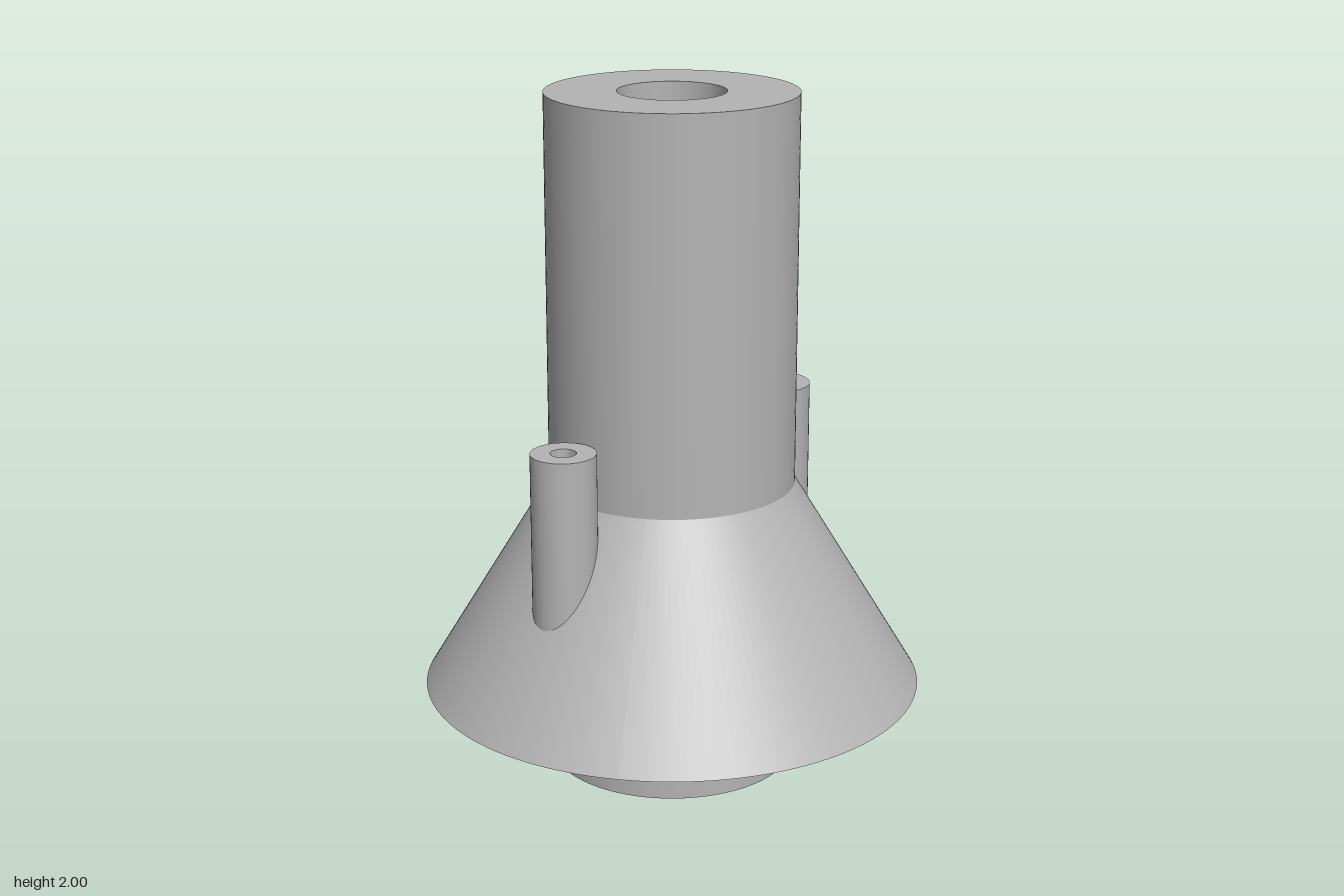
import * as THREE from 'three';
import { toCreasedNormals } from 'three/addons/utils/BufferGeometryUtils.js';

const grey = new THREE.MeshStandardMaterial({ color: 0xb4b4b4, side: THREE.DoubleSide });
grey.name = 'plain grey';

const R = 0.36;          // main tube outer radius
const PORT_R = 0.105;    // round side ports
const PORT_Y = 0.21;
const CUT = 0.41;        // reach of the port cut into the posts
const SECTOR = Math.PI / 6;

function add(parent, geometry, name) {
  const mesh = new THREE.Mesh(geometry, grey);
  mesh.name = name;
  parent.add(mesh);
  return mesh;
}

function lathe(points, segments = 96, start = 0, length = Math.PI * 2) {
  const profile = points.map(([x, y]) => new THREE.Vector2(x, y));
  return toCreasedNormals(new THREE.LatheGeometry(profile, segments, start, length), 0.4);
}

// Grid surface from a function of two parameters in 0..1
function surface(nu, nv, fn) {
  const position = [], index = [];
  for (let i = 0; i <= nu; i++)
    for (let j = 0; j <= nv; j++) position.push(...fn(i / nu, j / nv));
  for (let i = 0; i < nu; i++)
    for (let j = 0; j < nv; j++) {
      const a = i * (nv + 1) + j, b = a + nv + 1;
      index.push(a, b, a + 1, b, b + 1, a + 1);
    }
  const g = new THREE.BufferGeometry();
  g.setAttribute('position', new THREE.Float32BufferAttribute(position, 3));
  g.setIndex(index);
  g.computeVertexNormals();
  return g;
}

// Rectangular patch (half width w, v0..v1) with a hole, bent by map(u, v)
function holedPatch(w, v0, v1, centre, hole, map) {
  const corners = [[w, v0], [w, v1], [-w, v1], [-w, v0], [w, v0]];
  return surface(64, 10, (s, t) => {
    const k = Math.min(3, Math.floor(s * 4 + 1e-9)), f = s * 4 - k;
    const u = corners[k][0] + (corners[k + 1][0] - corners[k][0]) * f;
    const v = corners[k][1] + (corners[k + 1][1] - corners[k][1]) * f;
    const [hu, hv] = hole(Math.atan2((v - centre) / (v1 - v0), u / (2 * w)));
    return map(hu + (u - hu) * t, hv + (v - hv) * t);
  });
}

// Lower end of a post, trimmed flat on the side facing the tube
function trimmedEnd(centre, outer, bore) {
  const d = centre - CUT;
  const a = -Math.asin(d / outer);
  const shape = new THREE.Shape();
  shape.absarc(0, 0, outer, a, Math.PI - a, false);
  if (bore > d) {
    const b = -Math.asin(d / bore);
    shape.absarc(0, 0, bore, Math.PI - b, b, true);
  } else {
    const hole = new THREE.Path();
    hole.absarc(0, 0, bore, 0, Math.PI * 2, true);
    shape.holes.push(hole);
  }
  shape.closePath();
  const g = new THREE.ExtrudeGeometry(shape, { depth: 0.17, bevelEnabled: false, curveSegments: 32 });
  g.rotateX(-Math.PI / 2);
  return toCreasedNormals(g, 0.4);
}

export function createModel() {
  const model = new THREE.Group();
  model.name = 'flangedTube';

  // Main tube: outer wall, stepped bore and bottom rim
  add(model, lathe([
    [R, 0.42], [R, 2], [0.155, 2], [0.155, 1.1], [0.065, 1.1], [0.065, 0.86],
    [0.295, 0.86], [0.295, 0.07], [0.306, 0.07], [0.306, 0], [R, 0],
  ]), 'mainTube');

  // Lower wall in four quarters, each with a round blind port
  for (let i = 0; i < 4; i++) {
    const quarter = new THREE.Group();
    quarter.name = 'portQuarter';
    quarter.rotation.y = i * Math.PI / 2;
    model.add(quarter);
    add(quarter, holedPatch(Math.PI / 4, 0, 0.42, PORT_Y,
      (t) => [Math.asin(PORT_R * Math.cos(t) / R), PORT_Y + PORT_R * Math.sin(t)],
      (u, v) => [R * Math.sin(u), v, R * Math.cos(u)]), 'lowerWall');
    add(quarter, surface(48, 1, (s, t) => {
      const a = s * Math.PI * 2, x = PORT_R * Math.cos(a), r = t ? R : 0.3;
      return [x, PORT_Y + PORT_R * Math.sin(a), Math.sqrt(r * r - x * x)];
    }), 'portWall');
  }

  // Conical skirt: plain side sectors and bottom rim
  for (const start of [SECTOR, Math.PI + SECTOR])
    for (const [name, line] of [
      ['skirtOuter', [[0.735, 0.24], [R, 0.86]]],
      ['skirtInner', [[R, 0.78], [0.687, 0.24]]],
    ]) add(model, lathe(line, 48, start, Math.PI - 2 * SECTOR), name);
  add(model, lathe([[0.687, 0.24], [0.735, 0.24]]), 'skirtRim');

  // Posts, with the skirt sectors they pass through
  const posts = [
    { name: 'frontPost', turn: Math.PI, c: 0.455, r: 0.0935, bore: 0.037, gap: 0.065 },
    { name: 'backPost', turn: 0, c: 0.46, r: 0.115, bore: 0.062, gap: 0.088 },
  ];
  for (const { name, turn, c, r, bore, gap } of posts) {
    const post = new THREE.Group();
    post.name = name;
    post.rotation.y = turn;
    model.add(post);
    add(post, lathe([[r, 0.315], [r, 1.05], [bore, 1.05], [bore, 0.315], [r, 0.315]], 48),
      'postTube').position.z = -c;
    add(post, trimmedEnd(c, r, bore), 'postEnd').position.set(0, 0.145, -c);

    for (const [part, rim, top] of [['skirtOuterSector', 0.735, 0.86], ['skirtInnerSector', 0.687, 0.78]])
      add(post, holedPatch(SECTOR, R, rim, c,
        (t) => {
          const x = gap * Math.cos(t), z = c + gap * Math.sin(t);
          return [Math.atan2(x, z), Math.hypot(x, z)];
        },
        (u, v) => [v * Math.sin(u), 0.24 + (top - 0.24) * (rim - v) / (rim - R), -v * Math.cos(u)]), part);
  }
  return model;
}
